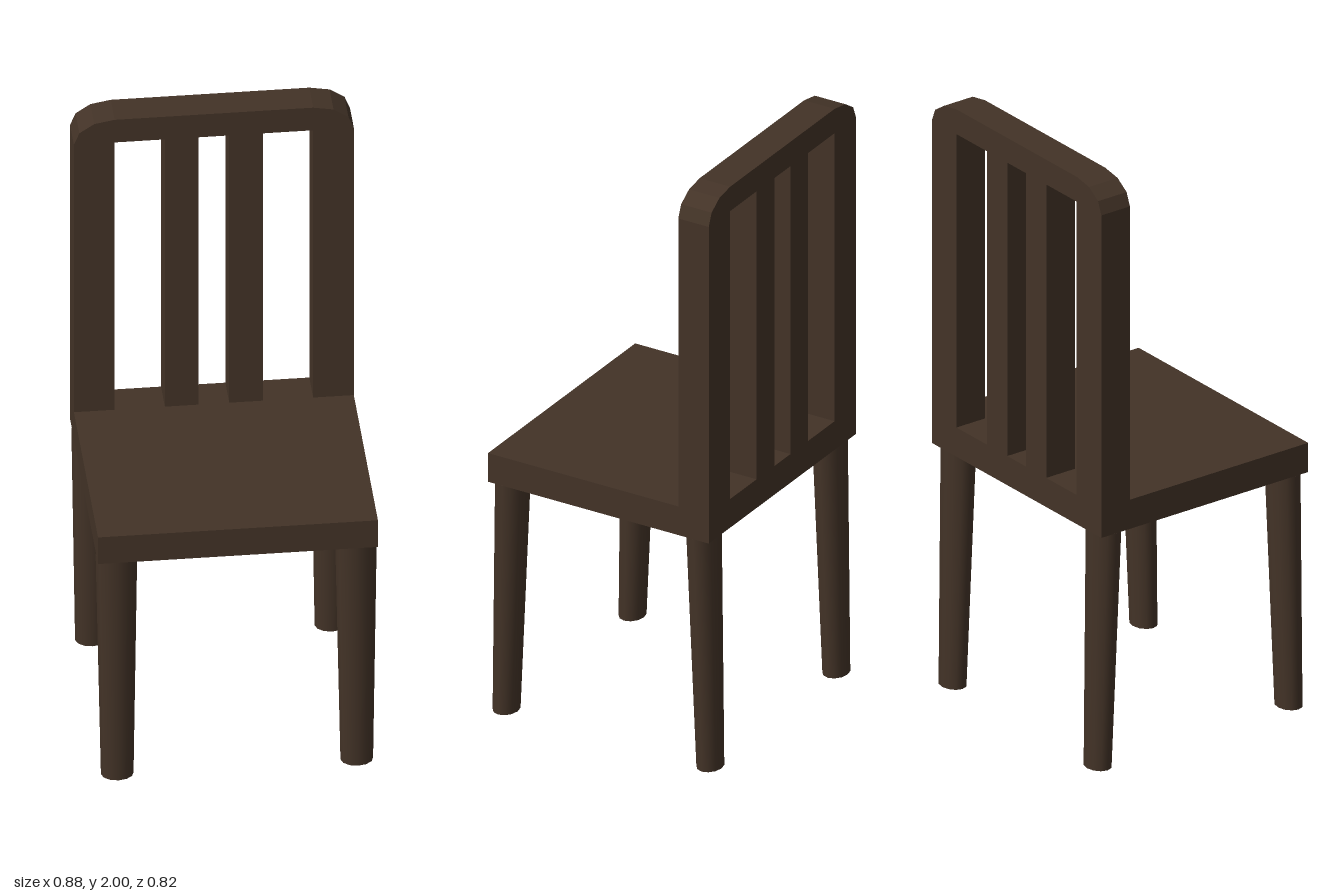
import * as THREE from 'three';

const wood = new THREE.MeshStandardMaterial({ color: 0x433327 });

function add(group, name, geometry) {
  const mesh = new THREE.Mesh(geometry, wood);
  mesh.name = name;
  group.add(mesh);
  return mesh;
}

// Slatted back: one board with faceted top corners and three tall openings
function backGeometry() {
  const w = 0.437, inner = 0.31, bottom = 0.81, shoulder = 1.915, top = 2;
  const points = [new THREE.Vector2(-w, bottom), new THREE.Vector2(w, bottom)];
  for (const side of [1, -1]) {
    for (let i = 0; i <= 3; i++) {
      const a = (side > 0 ? i : 3 - i) * Math.PI / 6;
      points.push(new THREE.Vector2(
        side * (inner + (w - inner) * Math.cos(a)),
        shoulder + (top - shoulder) * Math.sin(a)));
    }
  }
  const shape = new THREE.Shape(points);
  for (const [x0, x1] of [[-inner, -0.153], [-0.048, 0.048], [0.153, inner]]) {
    shape.holes.push(new THREE.Path([
      new THREE.Vector2(x0, 0.91), new THREE.Vector2(x0, 1.915),
      new THREE.Vector2(x1, 1.915), new THREE.Vector2(x1, 0.91)]));
  }
  const geometry = new THREE.ExtrudeGeometry(shape, { depth: 0.111, bevelEnabled: false });
  return geometry.translate(0, 0, -0.404);
}

// Oval tapered leg, sheared so that its foot splays outward along z
function legGeometry(topZ, footZ) {
  const height = 0.81;
  const geometry = new THREE.CylinderGeometry(0.065, 0.051, height, 12);
  geometry.scale(1, 1, 0.8).translate(0, height / 2, 0);
  const pos = geometry.attributes.position;
  for (let i = 0; i < pos.count; i++) {
    const t = pos.getY(i) / height;
    pos.setZ(i, pos.getZ(i) + THREE.MathUtils.lerp(footZ, topZ, t));
  }
  return geometry;
}

export function createModel() {
  const chair = new THREE.Group();
  chair.name = 'chair';

  // Seat slab meets the front of the back board
  add(chair, 'seat', new THREE.BoxGeometry(0.874, 0.1, 0.693)).position.set(0, 0.86, 0.0535);
  add(chair, 'back', backGeometry());

  // Four legs
  for (const [side, x] of [['Left', 0.374], ['Right', -0.374]]) {
    add(chair, 'front' + side + 'Leg', legGeometry(0.348, 0.371)).position.x = x;
    add(chair, 'back' + side + 'Leg', legGeometry(-0.348, -0.371)).position.x = x;
  }
  return chair;
}
